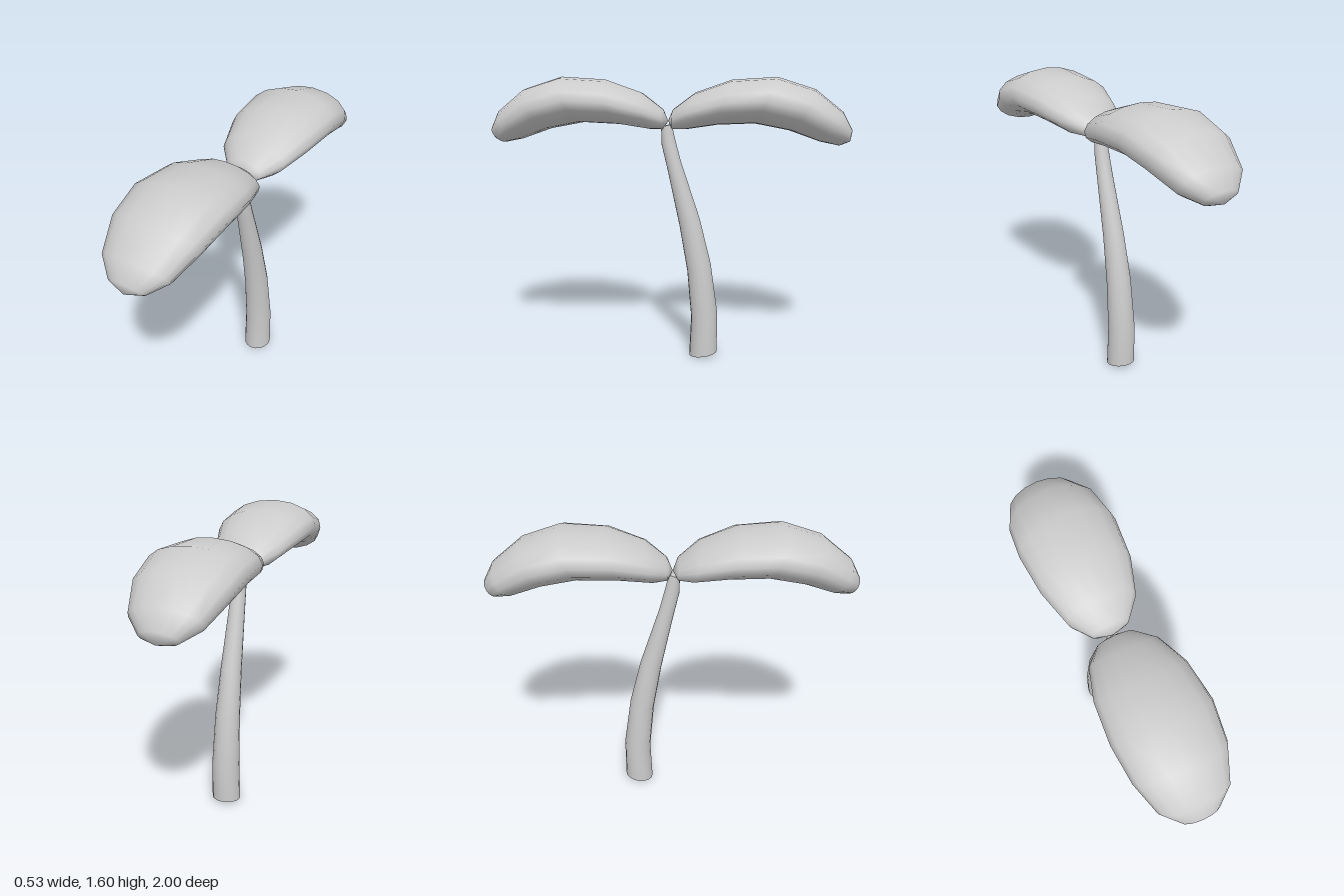
import * as THREE from 'three';
import { mergeVertices } from 'three/addons/utils/BufferGeometryUtils.js';

const SIDES = 16;
const material = new THREE.MeshStandardMaterial({ color: 0xcccccc });

// Skin a row of elliptical rings [z, y, halfWidth, dz, dy];
// each ring spans halfWidth along x and (dz, dy) across it.
function loft(rings) {
  const points = [], index = [];
  rings.forEach(([z, y, w, dz, dy], r) => {
    for (let i = 0; i < SIDES; i++) {
      const a = (i / SIDES) * Math.PI * 2, s = Math.sin(a);
      points.push(w * Math.cos(a), y + dy * s, z + dz * s);
      if (r === rings.length - 1) continue;
      const p = r * SIDES + i, q = r * SIDES + (i + 1) % SIDES;
      // Collapsed end rings need only one triangle per side
      if (w > 0) index.push(p, q, p + SIDES);
      if (rings[r + 1][2] > 0) index.push(q, q + SIDES, p + SIDES);
    }
  });
  let geometry = new THREE.BufferGeometry();
  geometry.setAttribute('position', new THREE.Float32BufferAttribute(points, 3));
  geometry.setIndex(index);
  geometry = mergeVertices(geometry, 1e-5);
  geometry.computeVertexNormals();
  return geometry;
}

function addPart(group, name, geometry) {
  const mesh = new THREE.Mesh(geometry, material);
  mesh.name = name;
  group.add(mesh);
  return mesh;
}

export function createModel() {
  const group = new THREE.Group();
  group.name = 'sprout';

  // Leaves: plump ellipsoids arching outwards and drooping at the tip
  const leaf = loft([
    [0, 1.355, 0, 0, 0],
    [0.028, 1.365, 0.101, 0.002, 0.055],
    [0.125, 1.41, 0.187, 0.025, 0.1],
    [0.31, 1.458, 0.245, 0.04, 0.122],
    [0.535, 1.47, 0.265, 0.06, 0.125],
    [0.73, 1.42, 0.245, 0.07, 0.11],
    [0.89, 1.33, 0.187, 0.06, 0.08],
    [0.965, 1.273, 0.101, 0.035, 0.043],
    [0.992, 1.252, 0, 0, 0],
  ]);
  addPart(group, 'frontLeaf', leaf);
  addPart(group, 'backLeaf', leaf).rotation.y = Math.PI;

  // Stem: tapering, leaning forward to the leaf joint
  const stem = [
    [-0.205, 0.012, 0.08, -0.08, 0.012],
    [-0.21, 0.245, 0.077, -0.075, 0.015],
    [-0.178, 0.525, 0.069, -0.067, 0.022],
    [-0.123, 0.785, 0.058, -0.057, 0.022],
    [-0.035, 1.105, 0.045, -0.036, 0.03],
    [0, 1.245, 0.04, -0.036, 0.022],
    [0.009, 1.33, 0.035, -0.03, 0.008],
  ];
  addPart(group, 'stem', loft(stem));

  // Flat ends of the stem
  const centre = ([z, y]) => [z, y, 0, 0, 0];
  const base = stem[0], top = stem[stem.length - 1];
  addPart(group, 'stemBase', loft([centre(base), base]));
  addPart(group, 'stemTop', loft([top, centre(top)]));

  return group;
}
